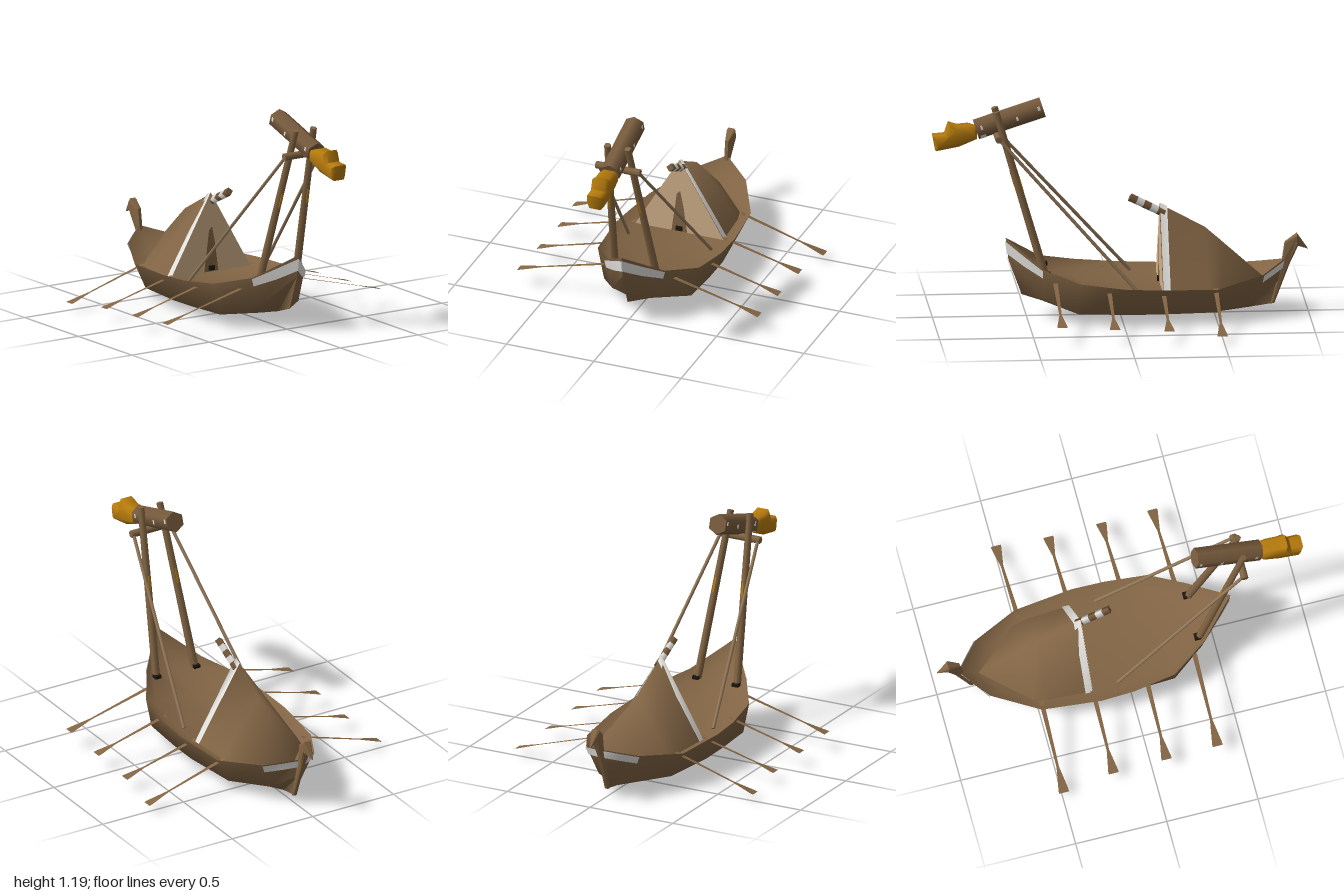
import * as THREE from 'three';
import { toCreasedNormals } from 'three/addons/utils/BufferGeometryUtils.js';

const V = (x, y, z) => new THREE.Vector3(x, y, z);
const mat = (name, color) => Object.assign(new THREE.MeshStandardMaterial({ color, side: THREE.DoubleSide }), { name });

// Surface through rows of equally many points
function loft(rows, crease = 1.3) {
  const n = rows[0].length, idx = [];
  for (let i = 0; i < rows.length - 1; i++)
    for (let j = 0; j < n - 1; j++) {
      const a = i * n + j, b = a + n;
      idx.push(a, b, a + 1, b, b + 1, a + 1);
    }
  const g = new THREE.BufferGeometry().setFromPoints(rows.flat());
  g.setIndex(idx);
  return toCreasedNormals(g, crease);
}

// Closed side profile of [z, y] points, extruded across x
function sidePlate(points, width, bevel) {
  const s = new THREE.Shape(points.map(([z, y]) => new THREE.Vector2(-z, y)));
  const g = new THREE.ExtrudeGeometry(s, {
    depth: width - 2 * bevel, bevelThickness: bevel, bevelSize: bevel, bevelOffset: -bevel, bevelSegments: 1,
  });
  return g.translate(0, 0, bevel - width / 2).rotateY(Math.PI / 2);
}

export function createModel() {
  const model = new THREE.Group();
  model.name = 'ramBoat';
  const wood = mat('hull wood', 0x816444), spar = mat('spar wood', 0x836543), log = mat('log wood', 0x785b3d);
  const rope = mat('stay rope', 0x94795a), white = mat('pale trim', 0xe4e2de), cream = mat('tent lining', 0xd2b18a);
  const gold = mat('gold', 0xb57a0c), dark = mat('dark fittings', 0x1c1610);

  const add = (name, geo, material, parent = model) => {
    const m = new THREE.Mesh(geo, material);
    m.name = name;
    parent.add(m);
    return m;
  };
  const rod = (name, a, b, r, material, sides = 6, rEnd = r) => {
    const m = add(name, new THREE.CylinderGeometry(rEnd, r, a.distanceTo(b), sides), material);
    m.position.copy(a).lerp(b, 0.5);
    m.quaternion.setFromUnitVectors(V(0, 1, 0), b.clone().sub(a).normalize());
    return m;
  };

  // Hull stations: rail x,y,z  chine x,y,z  keel y,z  floor y,z
  const stations = [
    [0, 0.43, 0.61, 0, 0.31, 0.595, 0.12, 0.525, 0.31, 0.54],
    [0.17, 0.29, 0.42, 0.13, 0.125, 0.42, 0.085, 0.42, 0.245, 0.41],
    [0.29, 0.237, 0.23, 0.25, 0.065, 0.24, 0.042, 0.25, 0.2, 0.23],
    [0.32, 0.212, 0, 0.26, 0.06, 0, 0.025, 0, 0.18, 0],
    [0.325, 0.205, -0.18, 0.26, 0.058, -0.18, 0.015, -0.2, 0.172, -0.18],
    [0.29, 0.195, -0.5, 0.22, 0.055, -0.5, 0.003, -0.5, 0.17, -0.5],
    [0.16, 0.24, -0.75, 0.1, 0.085, -0.72, 0.03, -0.7, 0.175, -0.68],
    [0, 0.29, -0.88, 0, 0.18, -0.855, 0.045, -0.8, 0.18, -0.78],
  ];
  const rail = (s, d = 1) => V(d * s[0], s[1], s[2]);
  const chine = (s, d = 1) => V(d * s[3], s[4], s[5]);
  const floor = (s, d) => V(d * s[0] * 0.8, s[8], s[9]);
  add('hull', loft(stations.map(s => [rail(s), chine(s), V(0, s[6], s[7]), chine(s, -1), rail(s, -1)])), wood);
  add('deck', loft(stations.map(s => [rail(s, -1), floor(s, -1), floor(s, 0), floor(s, 1), rail(s)])), wood);

  // Pale bands wrapped around bow and stern, with [upper, lower] depth at the middle and at the tips
  const band = (name, end, next, out, middle, tips) => {
    const at = (d, t, depth) => {
      const a = rail(end, d).lerp(rail(next, d), t), b = chine(end, d).lerp(chine(next, d), t);
      return a.lerp(b, depth).add(V(d * 0.005 * Math.sign(t), 0, out));
    };
    const row = k => {
      const half = (middle[k] + tips[k]) / 2;
      return [at(1, 1, tips[k]), at(1, 0.5, half), at(1, 0, middle[k]), at(-1, 0.5, half), at(-1, 1, tips[k])];
    };
    add(name, loft([row(0), row(1)]), white);
  };
  band('bowBand', stations[0], stations[1], 0.005, [0.16, 0.72], [0.03, 0.28]);
  band('sternBand', stations[7], stations[6], -0.005, [0.04, 0.42], [0.03, 0.3]);

  // Beaked stern post, thin along the hull, narrowing at its neck and tip
  const post = sidePlate([[-0.8, 0.045], [-0.86, 0.28], [-0.875, 0.38], [-0.94, 0.425], [-1, 0.34], [-0.945, 0.36], [-0.9, 0.26], [-0.82, 0.05]], 0.05, 0.008);
  const pp = post.attributes.position;
  for (let i = 0; i < pp.count; i++) {
    const z = pp.getZ(i);
    pp.setX(i, pp.getX(i) * (z < -0.97 ? 0.15 : z > -0.91 ? 0.5 : 1));
  }
  post.computeVertexNormals();
  add('sternPost', post, spar);

  // Tent: sloping cover, pale edge, front panel and opening
  const tentRow = (x, base, top, z) => [V(-x, base, z), V(0, top, z), V(x, base, z)];
  add('tentCover', loft([
    tentRow(0.25, 0.172, 0.6, -0.21), tentRow(0.235, 0.17, 0.47, -0.45),
    tentRow(0.215, 0.17, 0.4, -0.53), tentRow(0, 0.18, 0.185, -0.77),
  ], 2.6), wood);
  add('tentEdge', loft([tentRow(0.253, 0.173, 0.605, -0.212), tentRow(0.253, 0.173, 0.587, -0.25)], 2.6), white);
  const panel = (pts, z) => new THREE.ShapeGeometry(new THREE.Shape(pts.map(p => new THREE.Vector2(...p)))).translate(0, 0, z);
  add('tentFront', panel([[-0.253, 0.172], [0.253, 0.172], [0, 0.604]], -0.209), cream);
  add('tentOpening', panel([[-0.045, 0.175], [0.045, 0.175], [0.025, 0.32], [0.005, 0.42], [-0.015, 0.4], [-0.025, 0.32]], -0.205), wood);
  add('tentThreshold', new THREE.BoxGeometry(0.035, 0.025, 0.008).translate(0, 0.195, -0.2), dark);

  // Striped ridge pole
  const p0 = V(0.01, 0.55, -0.235), p1 = V(0.01, 0.642, -0.05);
  for (let i = 0; i < 5; i++)
    rod('ridgePole', p0.clone().lerp(p1, i / 5), p0.clone().lerp(p1, (i + 1) / 5), 0.022, i % 2 ? white : log, 4);

  // Ram log with pale chips and a golden head
  const ram = rod('ramLog', V(0, 1.025, 0.768), V(0, 1.14, 0.413), 0.056, log, 6);
  add('ramCollar', new THREE.CylinderGeometry(0.0575, 0.0575, 0.03, 2, 1, true, Math.PI * 2 / 3, Math.PI * 2 / 3).translate(0, -0.16, 0), white, ram);
  for (const d of [-1, 1])
    for (const [along, up, long] of [[-0.155, 0.01, 0.012], [0.04, -0.005, 0.012], [0.165, 0.01, 0.014]])
      add('ramChip', new THREE.BoxGeometry(0.004, long, 0.022).translate(d * 0.048, along, up), white, ram);
  const head = sidePlate([[0.765, 1.04], [0.765, 0.98], [0.86, 0.94], [0.985, 0.917], [1, 1.0],
    [0.935, 1.005], [0.915, 1.065], [0.87, 1.05], [0.81, 1.055]], 0.096, 0.016);
  add('ramHead', toCreasedNormals(head, 1), gold);

  // Frame legs with inlays and feet, crossbar and stays
  rod('crossbar', V(-0.127, 0.993, 0.655), V(0.127, 0.993, 0.655), 0.02, spar);
  for (const d of [-1, 1]) {
    const leg = rod('frameLeg', V(d * 0.119, 0.25, 0.409), V(d * 0.058, 1.13, 0.665), 0.021, spar, 6, 0.018);
    add('legInlay', new THREE.BoxGeometry(0.01, 0.08, 0.042).translate(0, 0.05, 0), gold, leg);
    const foot = add('legFoot', new THREE.BoxGeometry(0.036, 0.018, 0.036), dark);
    foot.position.set(d * 0.12, 0.258, 0.398);
    rod('stay', V(d * 0.237, 0.185, -0.07), V(d * 0.113, 0.99, 0.65), 0.009, rope);
  }

  // Flat oars: z, inner x, inner y, outer x, outer y
  const oars = [[0.36, 0.2, 0.225, 0.69, 0.1], [0.08, 0.26, 0.2, 0.69, 0.085], [-0.21, 0.25, 0.185, 0.69, 0.07], [-0.49, 0.24, 0.19, 0.72, 0.045]];
  for (const [z, xi, yi, xo, yo] of oars)
    for (const d of [-1, 1]) {
      const a = V(d * xi, yi, z), b = V(d * xo, yo, z);
      const edge = ([t, w]) => [a.clone().lerp(b, t).add(V(0, 0, -w)), a.clone().lerp(b, t).add(V(0, 0, w))];
      add('oar', loft([[0, 0.013], [0.72, 0.007], [0.97, 0.027], [1, 0.027]].map(edge)), spar);
    }
  return model;
}
